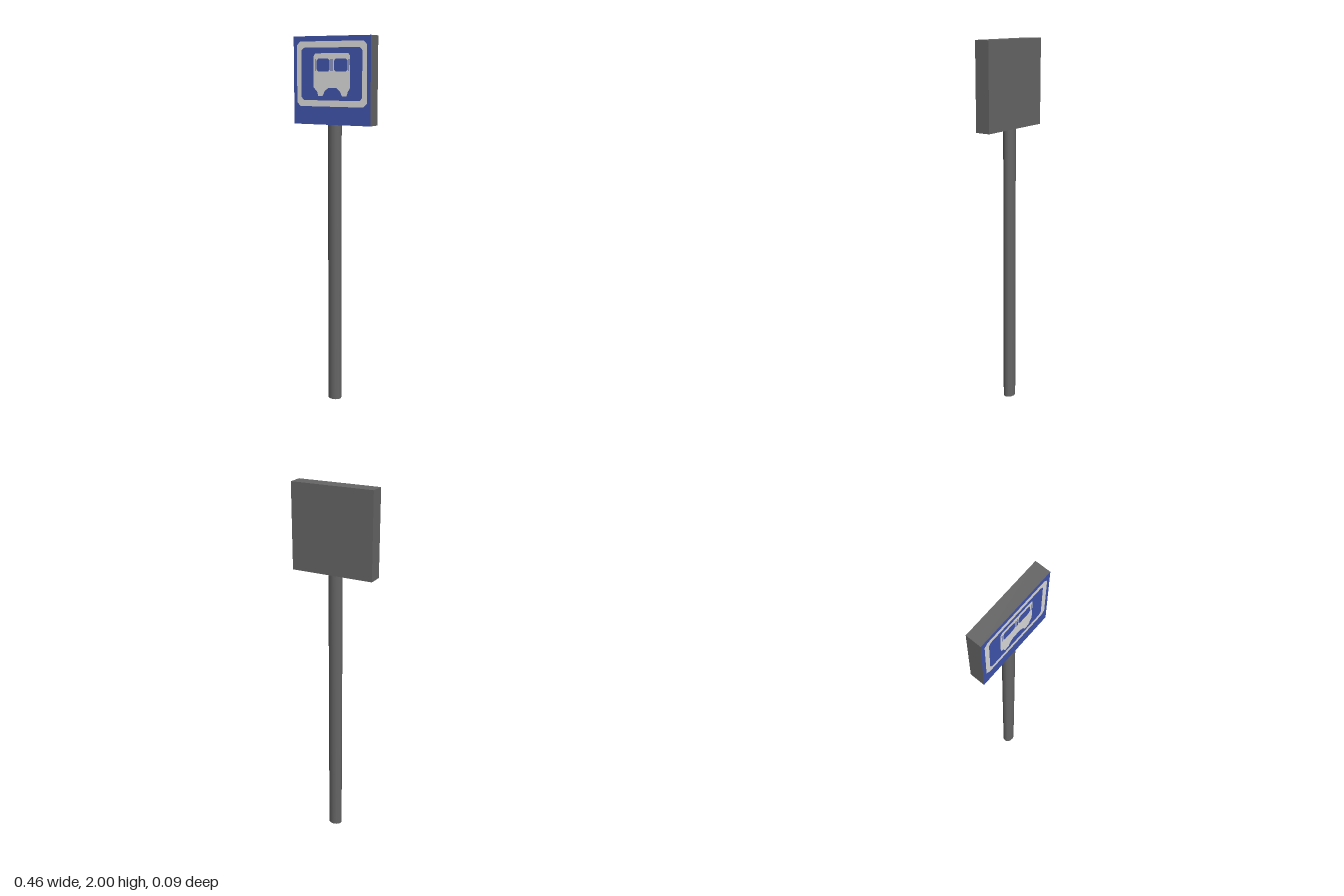
import * as THREE from 'three';

export function createModel() {
  const model = new THREE.Group();
  model.name = 'busStopSign';

  const material = (name, color, side = THREE.FrontSide) => {
    const m = new THREE.MeshStandardMaterial({ color, side });
    m.name = name;
    return m;
  };
  const metal = material('grey metal', 0x666666, THREE.DoubleSide);
  const blue = material('sign blue', 0x4054ac);
  const white = material('sign white', 0xdadada);

  const add = (parent, name, geometry, mat) => {
    const mesh = new THREE.Mesh(geometry, mat);
    mesh.name = name;
    parent.add(mesh);
    return mesh;
  };

  // Rectangle with chamfered corners, centred on (cx, cy)
  const chamfered = (PathType, cx, cy, w, h, c) => {
    const x = w / 2, y = h / 2;
    return new PathType([
      [-x + c, -y], [x - c, -y], [x, -y + c], [x, y - c],
      [x - c, y], [-x + c, y], [-x, y - c], [-x, -y + c],
    ].map(([px, py]) => new THREE.Vector2(cx + px, cy + py)));
  };

  // Slightly oval, open-ended post
  const post = add(model, 'post',
    new THREE.CylinderGeometry(0.038, 0.038, 1.55, 12, 1, true), metal);
  post.scale.z = 0.83;
  post.position.set(-0.002, 0.775, 0);

  // Board, turned a touch on the post, with a blue front
  const sign = new THREE.Group();
  sign.name = 'sign';
  sign.position.y = 1.7725;
  sign.rotation.y = -0.022;
  model.add(sign);
  const W = 0.455, D = 0.082;
  add(sign, 'board', new THREE.BoxGeometry(W, W, D),
    [metal, metal, metal, metal, blue, metal]);

  // Painted layer just in front of the board
  const paint = (name, shape) => {
    const mesh = add(sign, name, new THREE.ShapeGeometry(shape, 6), white);
    mesh.position.z = D / 2 + 0.002;
  };

  // Border frame
  const frame = chamfered(THREE.Shape, 0, 0.034, 0.414, 0.334, 0.02);
  frame.holes.push(chamfered(THREE.Path, 0, 0.034, 0.36, 0.27, 0.015));
  paint('borderFrame', frame);

  // Bus pictogram: body, wheels and arched underside
  const outline = [
    [-0.106, -0.035], [-0.085, -0.055], [-0.078, -0.078], [-0.052, -0.078],
    [-0.038, -0.052], [-0.018, -0.037], [0.03, -0.037], [0.05, -0.052],
    [0.063, -0.078], [0.09, -0.078], [0.098, -0.055], [0.111, -0.035],
    [0.111, 0.125], [0.1, 0.14], [-0.095, 0.14], [-0.106, 0.125],
  ];
  const bus = new THREE.Shape(outline.map(([x, y]) => new THREE.Vector2(x, y)));
  // Two windscreen panes, a split centre post and thin side slits
  for (const s of [-1, 1]) {
    const cx = 0.004;
    bus.holes.push(
      chamfered(THREE.Path, cx + s * 0.052, 0.08, 0.078, 0.066, 0.01),
      chamfered(THREE.Path, cx + s * 0.0055, 0.08, 0.005, 0.06, 0.001),
      chamfered(THREE.Path, cx + s * 0.099, 0.08, 0.005, 0.06, 0.001),
    );
  }
  paint('busSymbol', bus);

  return model;
}
